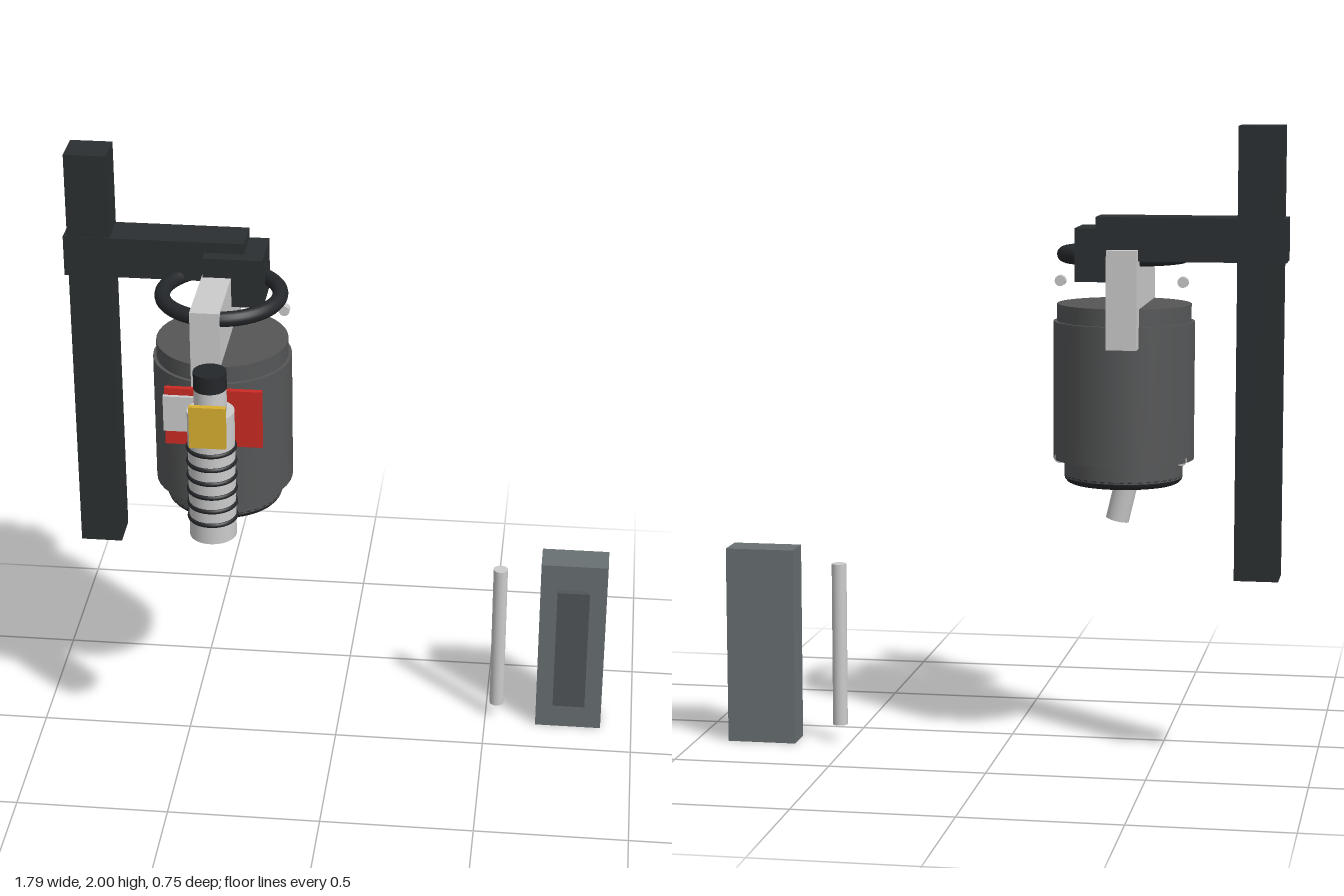
import * as THREE from 'three';

const mat = (color) => new THREE.MeshStandardMaterial({ color });
const M = {
  steel: mat(0xcccccc),
  frame: mat(0x2b2f31),
  rubber: mat(0x24272a),
  tank: mat(0x555657),
  cabinet: mat(0x687072),
  panel: mat(0x505557),
  red: mat(0xcc2a24),
  yellow: mat(0xd9b030),
};

export function createModel() {
  const root = new THREE.Group();

  function add(parent, name, geometry, material, x = 0, y = 0, z = 0) {
    const mesh = new THREE.Mesh(geometry, material);
    mesh.name = name;
    mesh.position.set(x, y, z);
    parent.add(mesh);
    return mesh;
  }

  // Box from its lower and upper limits on each axis
  function box(parent, name, material, [x0, x1], [y0, y1], [z0, z1]) {
    return add(parent, name, new THREE.BoxGeometry(x1 - x0, y1 - y0, z1 - z0), material,
      (x0 + x1) / 2, (y0 + y1) / 2, (z0 + z1) / 2);
  }

  // Upright cylinder between two heights
  function post(parent, name, material, r, y0, y1, x = 0, z = 0) {
    return add(parent, name, new THREE.CylinderGeometry(r, r, y1 - y0, 40), material, x, (y0 + y1) / 2, z);
  }

  // Horizontal ring
  function ring(parent, name, material, r, tube, y) {
    const mesh = add(parent, name, new THREE.TorusGeometry(r, tube, 14, 56), material, 0, y, 0);
    mesh.rotation.x = Math.PI / 2;
    return mesh;
  }

  function group(name, x, z) {
    const g = new THREE.Group();
    g.name = name;
    g.position.set(x, 0, z);
    root.add(g);
    return g;
  }

  // Mounting frame
  const frame = group('mountingFrame', 0, 0);
  box(frame, 'uprightPost', M.frame, [-0.887, -0.75], [0.6, 2], [-0.333, -0.207]);
  box(frame, 'crossArm', M.frame, [-0.9, -0.315], [1.585, 1.72], [-0.336, -0.204]);
  box(frame, 'clampBlock', M.frame, [-0.443, -0.25], [1.52, 1.685], [-0.338, -0.158]);
  box(frame, 'hangerBracket', M.steel, [-0.447, -0.352], [1.314, 1.62], [-0.373, 0.106]);

  // Large tank with stepped shoulders
  const tank = group('tank', -0.376, -0.107);
  post(tank, 'tankBody', M.tank, 0.223, 0.943, 1.38);
  post(tank, 'tankLid', M.tank, 0.212, 1.37, 1.435);
  post(tank, 'tankBase', M.tank, 0.188, 0.885, 0.95);
  ring(tank, 'baseRim', M.rubber, 0.163, 0.025, 0.89);
  ring(tank, 'handleRing', M.rubber, 0.188, 0.025, 1.59);

  // Tilted outlet under the tank
  const outlet = post(tank, 'outletPipe', M.steel, 0.037, 0.75, 0.96, -0.012, -0.052);
  outlet.rotation.z = 0.23;

  // Bolts on both sides, above and below
  for (const side of [-1, 1]) {
    for (const y of [1.51, 0.95]) {
      const bolt = add(tank, 'sideBolt', new THREE.CylinderGeometry(0.017, 0.017, 0.027, 16), M.steel,
        side * 0.193, y, -0.07);
      bolt.rotation.x = Math.PI / 2;
    }
  }

  // Plates on the front of the tank
  const plates = group('tankPlates', 0, 0);
  box(plates, 'warningPlate', M.red, [-0.53, -0.22], [1.168, 1.365], [0.111, 0.129]);
  box(plates, 'infoPlate', M.steel, [-0.533, -0.437], [1.22, 1.342], [0.127, 0.142]);
  const knob = add(plates, 'frontKnob', new THREE.CylinderGeometry(0.024, 0.024, 0.024, 20), M.rubber, -0.405, 1.405, 0.115);
  knob.rotation.x = Math.PI / 2;

  // Slim canister in front of the tank
  const canister = group('canister', -0.358, 0.29);
  post(canister, 'canisterBody', M.steel, 0.074, 0.943, 1.38);
  post(canister, 'canisterNeck', M.steel, 0.051, 1.37, 1.46);
  post(canister, 'canisterCap', M.rubber, 0.052, 1.458, 1.515);
  for (let i = 0; i < 6; i++) ring(canister, 'gripRing', M.rubber, 0.072, 0.008, 1.01 + i * 0.049);
  box(canister, 'canisterLabel', M.yellow, [-0.056, 0.058], [1.29, 1.43], [0.066, 0.085]);

  // Separate rod and cabinet
  post(root, 'rod', M.steel, 0.024, 0.055, 0.585, 0.537, -0.177);
  const cabinet = group('cabinet', 0, 0);
  box(cabinet, 'cabinetBody', M.cabinet, [0.673, 0.895], [0, 0.635], [-0.243, -0.134]);
  box(cabinet, 'cabinetPanel', M.panel, [0.73, 0.838], [0.095, 0.543], [-0.14, -0.113]);

  return root;
}
